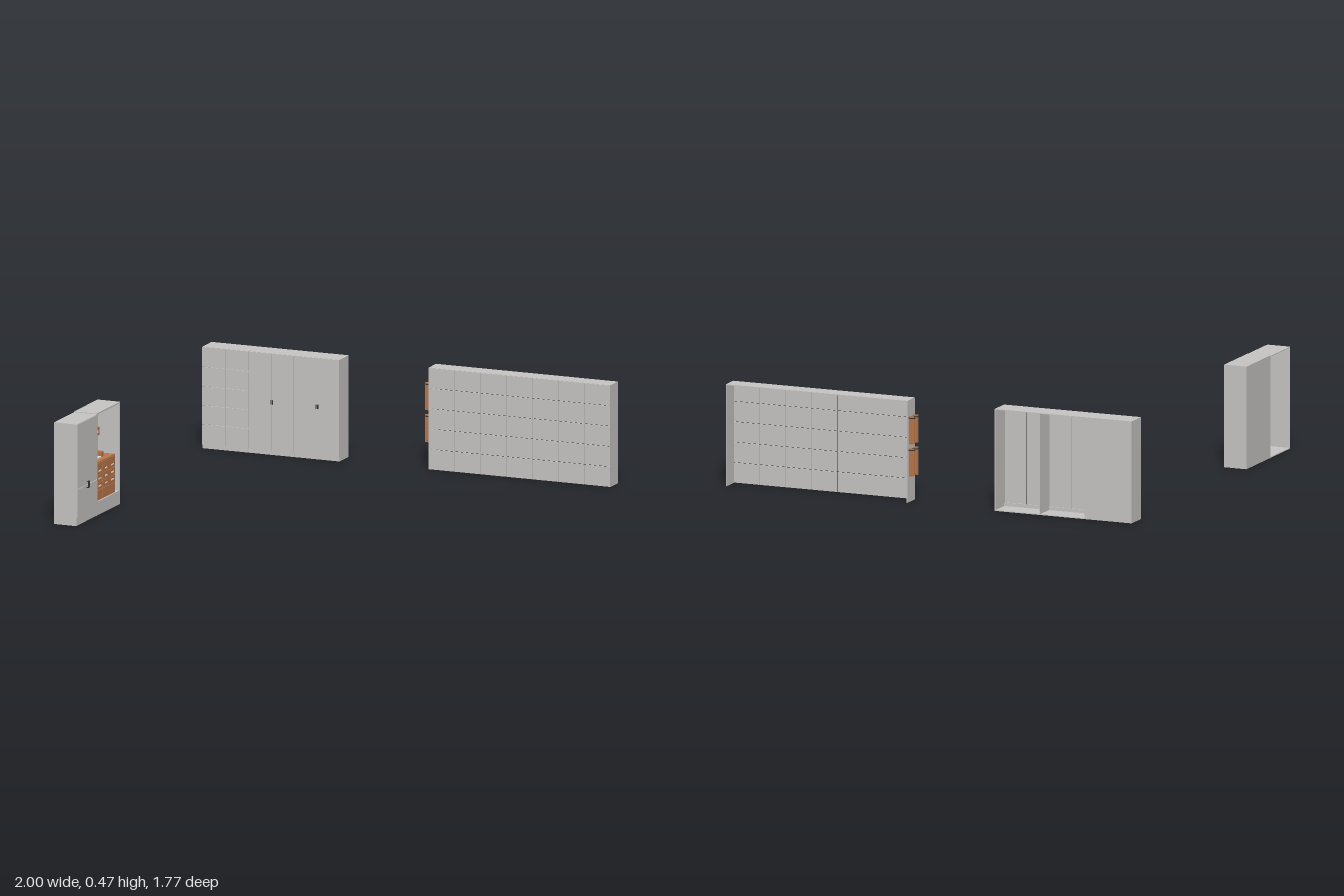
import * as THREE from 'three';

const mat = (name, color) => {
  const m = new THREE.MeshStandardMaterial({ color });
  m.name = name;
  return m;
};

export function createModel() {
  const grey = mat('cabinet grey', 0xc8c6c4);
  const wood = mat('orange wood', 0xb9774b);
  const green = mat('dark green', 0x0c3a1c);
  const dark = mat('dark metal', 0x333333);
  const pale = mat('pale handle', 0xdedede);
  const T = 0.004, GAP = 0.001, H = 0.47;

  const model = new THREE.Group();
  model.name = 'cabinetSet';
  const group = (name) => {
    const g = new THREE.Group();
    g.name = name;
    model.add(g);
    return g;
  };
  // Box given by its limits on each axis
  const box = (g, name, m, [x0, x1], [y0, y1], [z0, z1]) => {
    const mesh = new THREE.Mesh(new THREE.BoxGeometry(x1 - x0, y1 - y0, z1 - z0), m);
    mesh.position.set((x0 + x1) / 2, (y0 + y1) / 2, (z0 + z1) / 2);
    mesh.name = name;
    g.add(mesh);
  };
  // Grid of thin fronts facing +z, with narrow gaps between them
  const fronts = (g, name, xs, ys, z) => {
    for (let i = 0; i + 1 < xs.length; i++)
      for (let j = 0; j + 1 < ys.length; j++)
        box(g, name, grey, [xs[i] + GAP, xs[i + 1] - GAP], [ys[j] + GAP, ys[j + 1] - GAP], [z - T, z]);
  };
  const steps = (a, b, n) => Array.from({ length: n + 1 }, (_, i) => a + (b - a) * i / n);

  // Long wall of drawers, open at the back and underneath
  const wall = group('drawerWall');
  const bz = [-0.888, -0.8];
  box(wall, 'top', grey, [0.105, 1], [H - T, H], [bz[0], bz[1] - T]);
  box(wall, 'rightSide', grey, [0.105, 0.105 + T], [0, H - T], [bz[0], bz[1] - T]);
  box(wall, 'leftSide', grey, [1 - T, 1], [0, H - T], [bz[0], bz[1] - T]);
  fronts(wall, 'drawerFront', steps(0.105, 1, 7), steps(0, H, 5), bz[1]);

  // Boards hanging on the end of the drawer wall
  for (const z of [-0.868, -0.826])
    for (const y of [0.12, 0.268]) {
      box(wall, 'hangingBoard', wood, [0.08, 0.103], [y, y + 0.128], [z - 0.005, z + 0.005]);
      box(wall, 'boardHook', dark, [0.078, 0.105], [y + 0.118, y + 0.122], [z - 0.008, z + 0.008]);
    }

  // Wardrobe: closed drawer column and two open-backed double-door bays
  const robe = group('wardrobe');
  const az = [-0.888, -0.78];
  const inner = [az[0], az[1] - T];
  box(robe, 'top', grey, [-1, -0.325], [H - T, H], inner);
  box(robe, 'floor', grey, [-1, -0.325], [0, T], [az[0], az[1] - 0.01]);
  for (const x of [-1, -0.772, -0.549, -0.325 - T])
    box(robe, 'upright', grey, [x, x + T], [T, H - T], inner);
  box(robe, 'drawerBack', grey, [-1 + T, -0.772], [T, H - T], [az[0], az[0] + T]);
  box(robe, 'toeKick', grey, [-1, -0.325], [0, 0.02], [az[1] - 0.01, az[1] - 0.005]);
  fronts(robe, 'drawerFront', [-1, -0.885, -0.77], [0.018, 0.112, 0.2, 0.288, 0.378, H], az[1]);
  fronts(robe, 'door', steps(-0.77, -0.325, 4), [0.018, H], az[1]);
  for (const x of [-0.655, -0.433])
    for (const s of [-1, 1])
      box(robe, 'doorHandle', dark, [x + s * 0.004 - 0.0015, x + s * 0.004 + 0.0015], [0.235, 0.255], [az[1], az[1] + 0.006]);

  // Tall cupboard facing +x, open at the back
  const cup = group('sideCupboard');
  const front = -0.885;
  const cx = [-1, front - T];
  box(cup, 'top', grey, cx, [H - T, H], [0.66, 0.885]);
  box(cup, 'floor', grey, [-1, front - 0.008], [0, T], [0.66, 0.885]);
  for (const z of [0.66, 0.885 - T])
    box(cup, 'side', grey, cx, [T, H - T], [z, z + T]);
  box(cup, 'toeKick', grey, [front - 0.01, front - 0.006], [0, 0.042], [0.66, 0.885]);
  for (const [z0, z1] of [[0.66, 0.773], [0.773, 0.885]])
    for (const [y0, y1] of [[0.04, 0.17], [0.17, H]])
      box(cup, 'door', grey, [front - T, front], [y0 + GAP, y1 - GAP], [z0 + GAP, z1 - GAP]);
  for (const z of [0.767, 0.779]) {
    box(cup, 'doorHandle', dark, [front + 0.007, front + 0.01], [0.155, 0.187], [z - 0.0015, z + 0.0015]);
    for (const y of [0.156, 0.183])
      box(cup, 'handlePost', dark, [front, front + 0.008], [y, y + 0.003], [z - 0.0015, z + 0.0015]);
  }

  // Open alcove beside the cupboard
  const nook = group('alcove');
  const nx = [-1, -0.89];
  box(nook, 'top', grey, nx, [H - T, H + 0.003], [0.395, 0.66]);
  box(nook, 'backPanel', grey, [-1, -1 + T], [0, H - T], [0.395, 0.66]);
  box(nook, 'side', grey, nx, [0, H - T], [0.395, 0.395 + T]);
  box(nook, 'plinth', grey, [-1 + T, -0.89], [0, 0.063], [0.395 + T, 0.66]);

  // Small chest of drawers with pale pulls
  const chest = group('chest');
  box(chest, 'body', wood, [-0.99, -0.897], [0.063, 0.24], [0.437, 0.655]);
  const rows = [0.066, 0.112, 0.148, 0.183, 0.237];
  const cols = steps(0.44, 0.652, 3);
  for (let i = 0; i < 3; i++)
    for (let j = 0; j < 4; j++) {
      box(chest, 'drawerFront', wood, [-0.897, -0.893], [rows[j] + GAP, rows[j + 1] - GAP], [cols[i] + GAP, cols[i + 1] - GAP]);
      const z = (cols[i] + cols[i + 1]) / 2, y = [0, 0.131, 0.165, 0.2][j];
      if (j) box(chest, 'drawerPull', pale, [-0.893, -0.89], [y - 0.003, y + 0.003], [z - 0.012, z + 0.012]);
    }

  // Items on the chest
  box(chest, 'greenBox', green, [-0.965, -0.92], [0.24, 0.28], [0.595, 0.64]);
  box(chest, 'tray', pale, [-0.96, -0.92], [0.24, 0.247], [0.535, 0.58]);
  box(chest, 'woodenBlock', wood, [-0.95, -0.925], [0.24, 0.264], [0.5, 0.522]);

  // Peg rail on the back of the alcove
  box(nook, 'pegRail', wood, [-0.996, -0.98], [0.317, 0.355], [0.42, 0.642]);
  for (const z of steps(0.455, 0.61, 4))
    box(nook, 'peg', pale, [-0.98, -0.97], [0.333, 0.343], [z - 0.004, z + 0.004]);

  return model;
}
